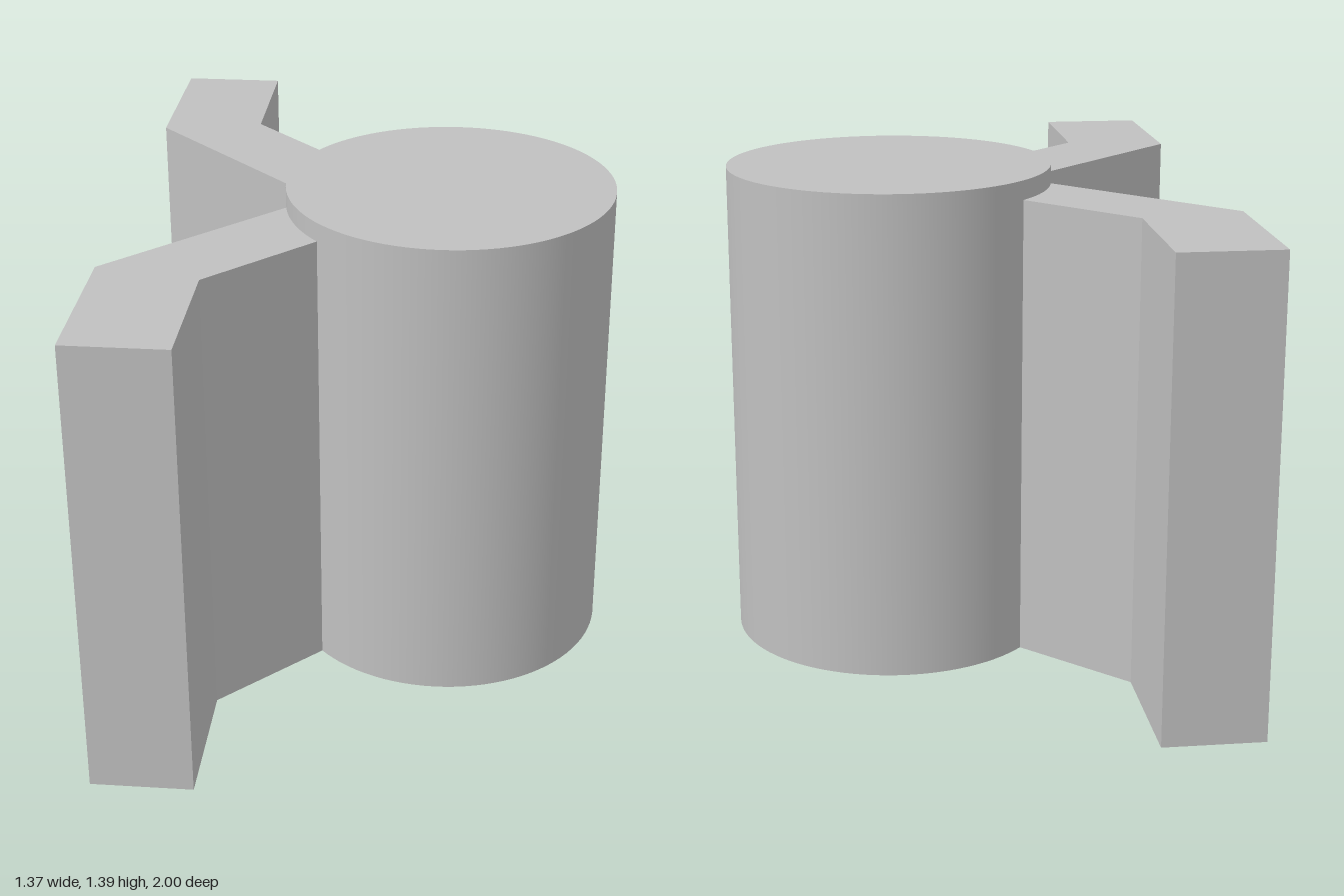
import * as THREE from 'three';

const R = 0.465, CX = 0.222, COLUMN_H = 1.39, WING_H = 1.335;

export function createModel() {
  const model = new THREE.Group();
  const grey = new THREE.MeshStandardMaterial({ color: 0xc0c0c0 });
  grey.name = 'grey';

  // Round column
  const column = new THREE.Mesh(new THREE.CylinderGeometry(R, R, COLUMN_H, 96), grey);
  column.name = 'column';
  column.position.set(CX, COLUMN_H / 2, 0);
  model.add(column);

  // Bent walls, mirrored front and back; the inner end follows the column
  for (const s of [1, -1]) {
    const plan = new THREE.Shape();
    plan.moveTo(-0.4, s * 1);
    plan.lineTo(-0.687, s * 1);
    plan.lineTo(-0.687, s * 0.53);
    plan.lineTo(-0.237, s * 0.08);
    plan.absarc(CX, 0, R - 0.001, s * 2.97, s * 2.41, s > 0);
    plan.lineTo(-0.4, s * 0.588);
    plan.closePath();
    const geometry = new THREE.ExtrudeGeometry(plan, { depth: WING_H, bevelEnabled: false, curveSegments: 12 });
    geometry.rotateX(-Math.PI / 2);
    const wall = new THREE.Mesh(geometry, grey);
    wall.name = s > 0 ? 'backWall' : 'frontWall';
    model.add(wall);
  }
  return model;
}
